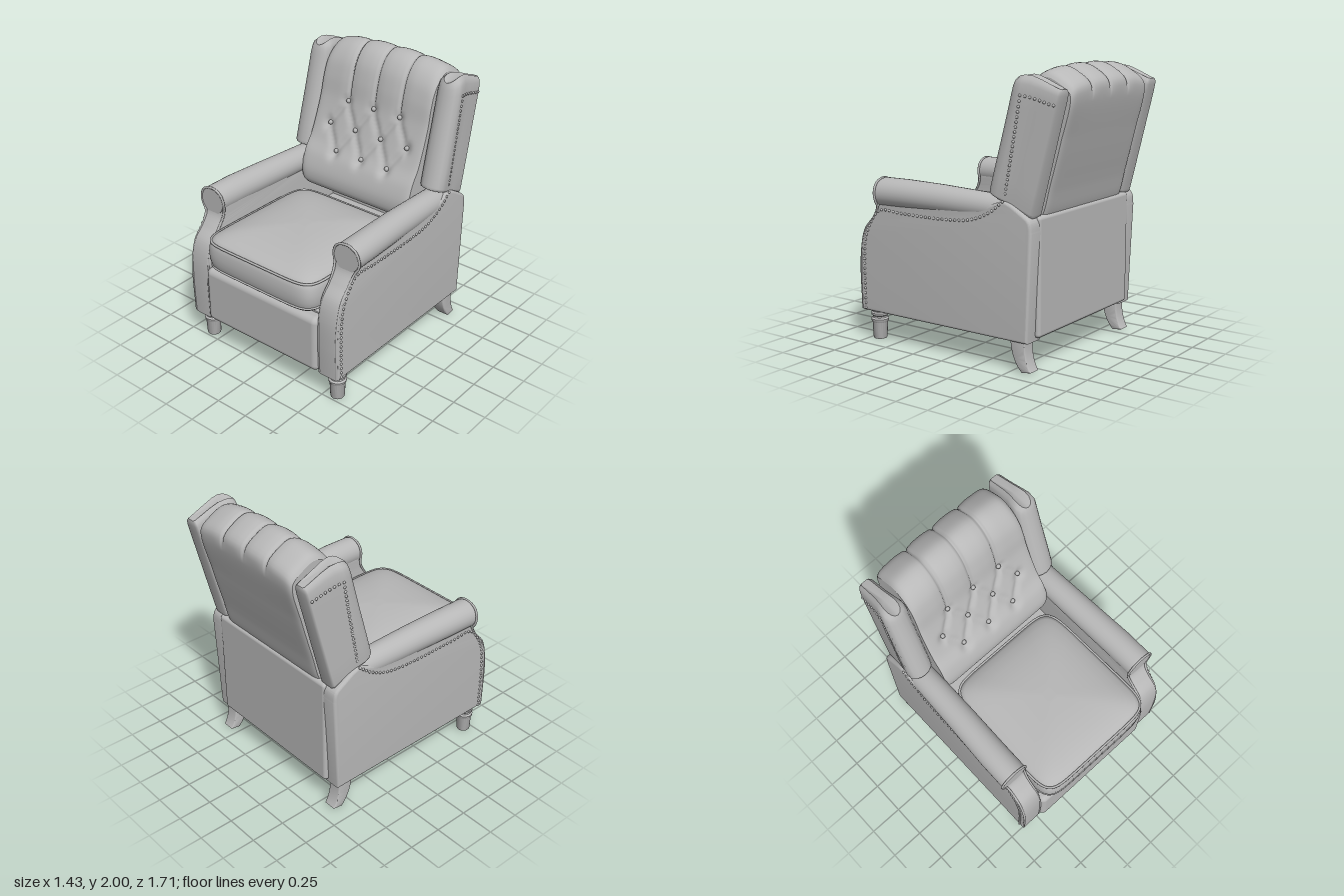
import * as THREE from 'three';
import { mergeVertices, mergeGeometries, toCreasedNormals } from 'three/addons/utils/BufferGeometryUtils.js';
import { RoundedBoxGeometry } from 'three/addons/geometries/RoundedBoxGeometry.js';

const V3 = (x, y, z) => new THREE.Vector3(x, y, z);
const V2 = (x, y) => new THREE.Vector2(x, y);
const lerp = THREE.MathUtils.lerp;

// Skin between closed rings of equal length, capped at both ends, facing outward
function loft(rings) {
  const n = rings[0].length, pts = rings.flat(), idx = [];
  for (let r = 0; r < rings.length - 1; r++)
    for (let i = 0; i < n; i++) {
      const a = r * n + i, b = r * n + (i + 1) % n;
      idx.push(a, b, b + n, a, b + n, a + n);
    }
  [[0, true], [rings.length - 1, false]].forEach(([r, first]) => {
    const centre = V3(0, 0, 0);
    rings[r].forEach(p => centre.addScaledVector(p, 1 / n));
    const base = pts.length;
    pts.push(...rings[r].map(p => p.clone()), centre);
    for (let i = 0; i < n; i++) {
      const a = base + i, b = base + (i + 1) % n;
      first ? idx.push(b, a, base + n) : idx.push(a, b, base + n);
    }
  });
  let volume = 0;
  const cross = V3(0, 0, 0);
  for (let i = 0; i < idx.length; i += 3)
    volume += pts[idx[i]].dot(cross.crossVectors(pts[idx[i + 1]], pts[idx[i + 2]]));
  if (volume < 0) idx.reverse();
  const geo = new THREE.BufferGeometry().setFromPoints(pts);
  geo.setIndex(idx);
  geo.computeVertexNormals();
  return geo;
}

function mirrored(geo) {
  const g = mergeVertices(geo.clone());
  g.scale(-1, 1, 1);
  g.setIndex(Array.from(g.index.array).reverse());
  return g;
}

// Extrude a (z, y) outline across x, ending at xMax
function slab(shape, width, xMax, bevel) {
  const geo = new THREE.ExtrudeGeometry(shape, {
    depth: width - 2 * bevel, bevelSize: bevel, bevelThickness: bevel,
    bevelOffset: -bevel, bevelSegments: 4, curveSegments: 16,
  });
  geo.rotateY(-Math.PI / 2).translate(xMax - bevel, 0, 0);
  return toCreasedNormals(geo, 0.6);
}

const tube = (pts, r, closed = false, n = 120) =>
  new THREE.TubeGeometry(new THREE.CatmullRomCurve3(pts, closed), n, r, 6, closed);
const beads = (pts, r) => mergeGeometries(
  pts.map(p => new THREE.SphereGeometry(r, 8, 6).translate(p.x, p.y, p.z)));

export function createModel() {
  const chair = new THREE.Group();
  chair.name = 'armchair';
  const leather = new THREE.MeshStandardMaterial({ color: 0xb8b8b8 });
  leather.name = 'grey upholstery';
  const add = (name, geo) => {
    const mesh = new THREE.Mesh(geo, leather);
    mesh.name = name;
    chair.add(mesh);
  };
  const addPair = (name, geo) => {
    add(name + 'Left', geo);
    add(name + 'Right', mirrored(geo));
  };

  // Base, footrest and rear panel
  add('baseFrame', new THREE.BoxGeometry(1.08, 0.44, 1.36).translate(0, 0.44, 0.06));
  add('footrestPanel', new RoundedBoxGeometry(1.02, 0.43, 0.12, 5, 0.045).translate(0, 0.435, 0.76));
  add('rearPanel', new RoundedBoxGeometry(1.14, 0.81, 0.08, 4, 0.025).translate(0, 0.635, -0.633));

  // Seat cushion: shrinking rounded outlines, domed on top
  const outline = (inset, y, n = 72) => Array.from({ length: n }, (_, i) => {
    const a = i / n * Math.PI * 2, c = Math.cos(a), s = Math.sin(a);
    const z = Math.sign(s) * Math.abs(s) ** 0.25, k = 1 - inset / 0.5;
    return V3(Math.sign(c) * Math.abs(c) ** 0.25 * (0.49 + 0.01 * z) * k, y, 0.33 + z * 0.53 * k);
  });
  add('seatCushion', loft([[0.4, 0.66], [0.06, 0.66], [0.025, 0.685], [0.012, 0.71], [0.002, 0.76],
    [0, 0.81], [0.004, 0.86], [0.014, 0.9], [0.04, 0.92], [0.09, 0.943], [0.16, 0.963],
    [0.25, 0.978], [0.35, 0.987], [0.46, 0.991]].map(([i, y]) => outline(i, y))));
  [0.71, 0.9].forEach(y => add('seatPiping', tube(outline(0.012, y), 0.009, true, 200)));

  // Arm side panels
  const panel = new THREE.Shape();
  panel.moveTo(-0.64, 0.21);
  panel.lineTo(0.79, 0.21);
  panel.splineThru([[0.797, 0.45], [0.79, 0.66], [0.755, 0.8], [0.68, 0.89], [0.625, 0.97], [0.61, 1.06]].map(p => V2(...p)));
  panel.lineTo(-0.25, 1.06);
  panel.splineThru([[-0.38, 1.11], [-0.47, 1.13], [-0.58, 1.075], [-0.655, 1.02], [-0.67, 0.94]].map(p => V2(...p)));
  addPair('armPanel', slab(panel, 0.168, 0.67, 0.02));

  // Rolled arm tops, tapering to the back
  const rollRings = [[0.62, 0.602, 1.073, 0.1], [0.6, 0.602, 1.076, 0.105], [0.4, 0.6, 1.079, 0.105],
    [0.1, 0.588, 1.076, 0.101], [-0.2, 0.579, 1.068, 0.096], [-0.4, 0.575, 1.063, 0.092], [-0.52, 0.575, 1.04, 0.085]]
    .map(([z, x, y, r]) => Array.from({ length: 28 }, (_, i) => {
      const a = i / 28 * Math.PI * 2;
      return V3(x + Math.cos(a) * r, y + Math.sin(a) * r, z);
    }));
  addPair('armRoll', loft(rollRings));

  // Piping round the front face of each arm
  addPair('armPiping', tube([[0.66, 0.22, 0.785], [0.662, 0.6, 0.787], [0.662, 0.8, 0.745], [0.66, 0.9, 0.665],
    [0.672, 0.98, 0.62], [0.702, 1.03, 0.615], [0.707, 1.09, 0.618], [0.677, 1.15, 0.62], [0.602, 1.176, 0.62],
    [0.527, 1.15, 0.62], [0.497, 1.09, 0.618], [0.502, 1.0, 0.615], [0.51, 0.9, 0.665], [0.51, 0.8, 0.745],
    [0.51, 0.6, 0.787], [0.51, 0.22, 0.785]].map(p => V3(...p)), 0.009));

  // Nail heads along each arm side
  const armNails = new THREE.CatmullRomCurve3([[0.75, 0.23], [0.752, 0.6], [0.735, 0.75], [0.68, 0.87], [0.6, 0.955],
    [0.4, 0.955], [0, 0.96], [-0.2, 0.985], [-0.35, 1.05], [-0.45, 1.13]].map(([z, y]) => V3(0.67, y, z)));
  addPair('armNails', beads(armNails.getSpacedPoints(52), 0.01));

  // Wings: f runs from front edge to back edge, t from bottom to top
  const wingHalf = [[0, 0], [0.015, 0.04], [0.06, 0.073], [0.14, 0.092], [0.25, 0.093],
    [0.4, 0.08], [0.6, 0.07], [0.96, 0.064], [1, 0.05]];
  const wingX = t => 0.576 - 0.01 * t;
  const wingPoint = (f, t, dx) => V3(wingX(t) + dx,
    lerp(lerp(1.18, 1.895, t), lerp(1.03, 1.86, t), f) + 0.06 * Math.sin(Math.PI * Math.min(1, f * 1.15) ** 0.7) * t ** 8,
    lerp(lerp(-0.31, -0.495, t), lerp(-0.65, -0.86, t), f));
  const wingRings = [[0, 0.75], [0.008, 0.9], [0.03, 1], [0.2, 1], [0.4, 0.99], [0.6, 0.97], [0.8, 0.96],
    [0.9, 0.95], [0.95, 0.9], [0.98, 0.78], [1, 0.5]].map(([t, s]) => {
    const at = side => ([f, h]) => wingPoint(0.5 + (f - 0.5) * (0.9 + 0.1 * s), t, side * h * s);
    return [...wingHalf.map(at(1)), ...wingHalf.slice(1).reverse().map(at(-1))];
  });
  addPair('wing', loft(wingRings));

  // Nail heads on each wing
  const halfAt = f => {
    const i = wingHalf.findIndex(p => p[0] >= f), [a, b] = [wingHalf[i - 1], wingHalf[i]];
    return lerp(a[1], b[1], (f - a[0]) / (b[0] - a[0]));
  };
  const wingNails = [];
  for (let i = 0; i <= 20; i++) wingNails.push([lerp(0.4, 0.28, i / 20), lerp(0.08, 0.88, i / 20)]);
  for (let i = 1; i <= 7; i++) wingNails.push([lerp(0.28, 0.93, i / 7), 0.88]);
  addPair('wingNails', beads(wingNails.map(([f, t]) => wingPoint(f, t, halfAt(f) * 0.965)), 0.01));

  // Backrest: one (z, y) profile swept across x, pressed in at seams and buttons
  const profile = new THREE.CatmullRomCurve3([[-0.22, 0.94], [-0.195, 1.03], [-0.235, 1.17], [-0.305, 1.28],
    [-0.365, 1.42], [-0.42, 1.58], [-0.455, 1.75], [-0.5, 1.88], [-0.57, 1.965], [-0.66, 1.998], [-0.76, 1.96],
    [-0.845, 1.89], [-0.853, 1.82], [-0.78, 1.5], [-0.7, 1.2], [-0.652, 1.02], [-0.6, 0.94]]
    .map(([z, y]) => V3(0, y, z)), true);
  const buttons = [[-0.23, 1.58], [0, 1.58], [0.23, 1.58], [-0.345, 1.4], [-0.115, 1.4], [0.115, 1.4], [0.345, 1.4],
    [-0.23, 1.23], [0, 1.23], [0.23, 1.23]].map(p => V2(...p));
  const creases = [];
  buttons.forEach((a, i) => buttons.slice(i + 1).forEach(b => {
    if (a.y !== b.y && a.distanceTo(b) < 0.25) creases.push([a, b]);
  }));
  const bump = (d, w) => Math.exp(-((d / w) ** 2));
  const press = (x, y, z, front) => {
    let d = 0;
    if (y > 1.56 && (front || y > 1.8)) {
      const near = Math.min(...[-0.225, 0, 0.225].map(s => Math.abs(x - s)));
      d = Math.min(1, (y - 1.56) / 0.06) * (0.018 * bump(near, 0.01) + 0.01 * bump(near, 0.05));
      if (!front) d *= Math.min(1, (y - 1.8) / 0.08);
    }
    if (!front || y < 1.05 || y > 1.75) return d;
    const p = V2(x, y);
    for (const b of buttons) d = Math.max(d, 0.032 * bump(p.distanceTo(b), 0.04));
    for (const [a, b] of creases) {
      const ab = b.clone().sub(a);
      const k = THREE.MathUtils.clamp(p.clone().sub(a).dot(ab) / ab.lengthSq(), 0, 1);
      d = Math.max(d, 0.016 * bump(p.distanceTo(ab.multiplyScalar(k).add(a)), 0.025));
    }
    return d;
  };
  const steps = 110;
  const samples = Array.from({ length: steps }, (_, i) => {
    const u = i / steps, p = profile.getPointAt(u), g = profile.getTangentAt(u);
    return { p, inward: V3(0, g.z, -g.y), front: p.z > -0.66 && p.y > 1 && g.y > -0.3 };
  });
  const backRings = [];
  for (let i = 0; i <= 100; i++) {
    const e = i / 50 - 1, round = 1 - 0.06 * Math.abs(e) ** 24;
    backRings.push(samples.map(({ p, inward, front }) => {
      const x = e * (0.49 - 0.015 * (p.y - 1));
      const q = p.clone().addScaledVector(inward, press(x, p.y, p.z, front));
      const top = THREE.MathUtils.clamp((q.y - 1.55) / 0.4, 0, 1);
      return V3(x, 1.5 + (q.y - 1.5) * round - 0.045 * Math.abs(e) ** 3 * top, -0.56 + (q.z + 0.56) * round);
    }));
  }
  add('backrest', loft(backRings));

  // Tufting buttons
  add('backButtons', beads(buttons.map(b => {
    const s = samples.find(q => q.front && q.p.y >= b.y);
    return V3(b.x, b.y, s.p.z - 0.016);
  }), 0.018));

  // Turned front legs
  const turned = [[0, 0], [0.046, 0], [0.05, 0.01], [0.055, 0.12], [0.062, 0.13], [0.064, 0.145], [0.052, 0.155],
    [0.05, 0.165], [0.062, 0.175], [0.064, 0.19], [0.056, 0.2], [0.056, 0.225]].map(p => V2(...p));
  addPair('frontLeg', toCreasedNormals(new THREE.LatheGeometry(turned, 20).translate(0.59, 0, 0.69), 0.6));

  // Curved rear legs
  const sabre = new THREE.Shape();
  sabre.moveTo(-0.49, 0.23);
  sabre.quadraticCurveTo(-0.49, 0.09, -0.58, 0);
  sabre.lineTo(-0.652, 0.012);
  sabre.quadraticCurveTo(-0.6, 0.09, -0.605, 0.23);
  addPair('rearLeg', slab(sabre, 0.1, 0.64, 0.01));

  return chair;
}
